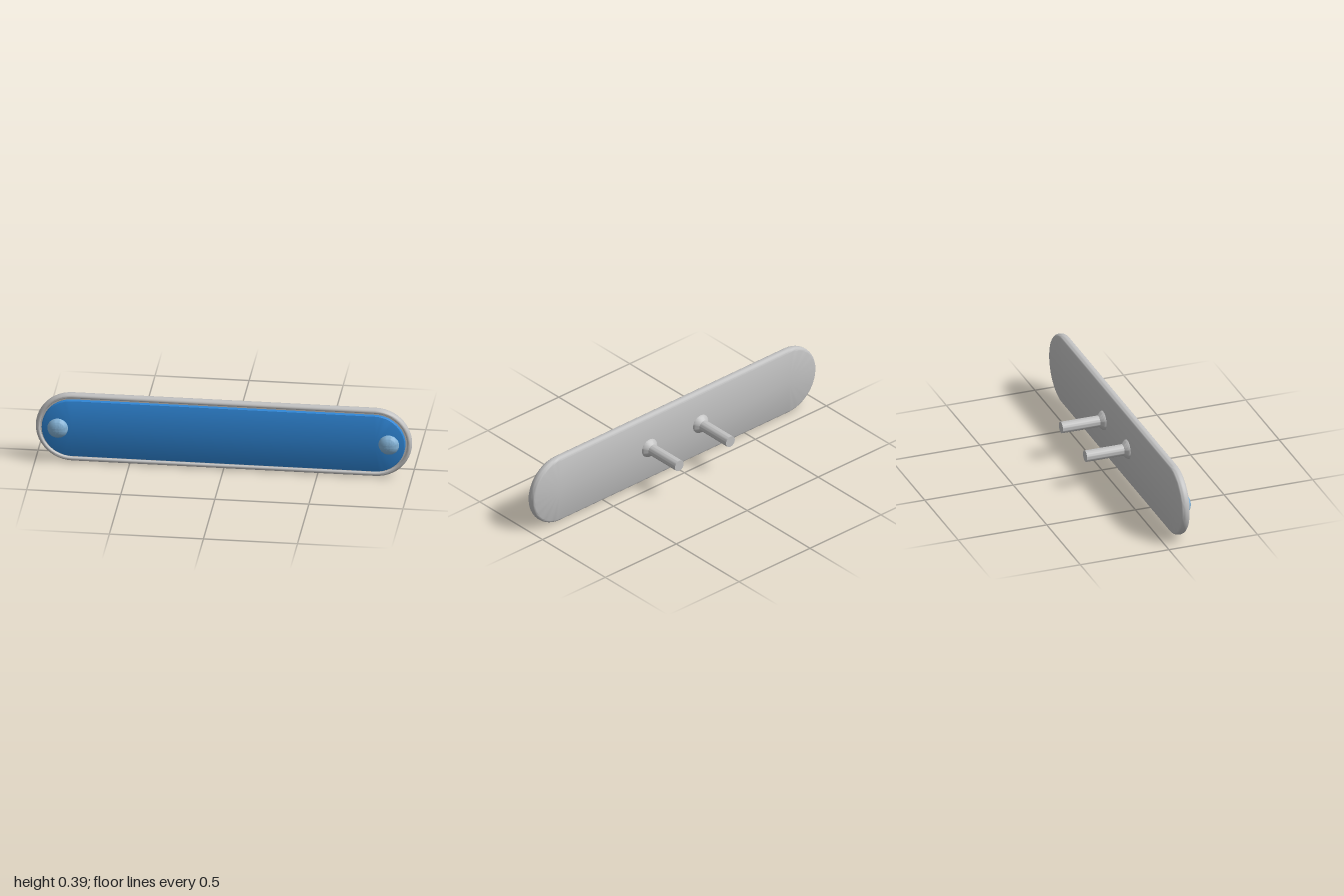
import * as THREE from 'three';
import { toCreasedNormals } from 'three/addons/utils/BufferGeometryUtils.js';

const HALF_STRAIGHT = 0.805; // distance from centre to each round end's centre
const CENTER_Y = 0.195;

// Sweeps a [radius, z] profile (back to front) around a pill-shaped outline
function pillGeometry(profile, arcSegments = 24) {
  const outline = [];
  for (const side of [1, -1]) {
    for (let i = 0; i <= arcSegments; i++) {
      const a = (i / arcSegments - 0.5) * Math.PI + (side < 0 ? Math.PI : 0);
      outline.push([side * HALF_STRAIGHT, Math.cos(a), Math.sin(a)]);
    }
  }
  const n = outline.length;
  const positions = [];
  const indices = [];
  profile.forEach(([r, z], j) => {
    outline.forEach(([x, c, s], i) => {
      positions.push(x + r * c, r * s, z);
      if (j === profile.length - 1) return;
      const k = (i + 1) % n;
      const a = j * n + i, b = j * n + k;
      indices.push(a, b, b + n, a, b + n, a + n);
    });
  });
  const geometry = new THREE.BufferGeometry();
  geometry.setAttribute('position', new THREE.Float32BufferAttribute(positions, 3));
  geometry.setIndex(indices);
  return toCreasedNormals(geometry, 0.7);
}

// Turns a [radius, z] profile (back to front) around the z axis
function turnedGeometry(profile, segments = 32) {
  const points = profile.map(([r, z]) => new THREE.Vector2(r, z));
  const geometry = new THREE.LatheGeometry(points, segments).rotateX(Math.PI / 2);
  return toCreasedNormals(geometry, 0.7);
}

export function createModel() {
  const group = new THREE.Group();
  const metal = new THREE.MeshStandardMaterial({ name: 'grey metal', color: 0xc2c2c2 });
  const blue = new THREE.MeshStandardMaterial({ name: 'blue enamel', color: 0x2f86d6 });
  const paleBlue = new THREE.MeshStandardMaterial({ name: 'pale blue', color: 0x85b4d8 });

  const add = (name, geometry, material, x = 0) => {
    const mesh = new THREE.Mesh(geometry, material);
    mesh.name = name;
    mesh.position.set(x, CENTER_Y, 0);
    group.add(mesh);
  };

  // Backing plate with rounded rim and a shallow recess in front
  add('backPlate', pillGeometry([
    [0, 0.075], [0.18, 0.075], [0.186, 0.077], [0.191, 0.082], [0.194, 0.089],
    [0.195, 0.098], [0.194, 0.108], [0.191, 0.115], [0.187, 0.12], [0.182, 0.122],
    [0.176, 0.122], [0.172, 0.119], [0.17, 0.112], [0.17, 0.108], [0, 0.108],
  ]), metal);

  // Raised blue panel with softened edge
  add('frontPanel', pillGeometry([
    [0.161, 0.107], [0.161, 0.124], [0.159, 0.128], [0.154, 0.13], [0, 0.13],
  ]), blue);

  // Domed studs at both ends
  const domeProfile = [];
  for (let i = 0; i <= 12; i++) {
    const a = (i / 12) * Math.PI / 2;
    domeProfile.push([0.055 * Math.cos(a), 0.129 + 0.034 * Math.sin(a)]);
  }
  const dome = turnedGeometry(domeProfile);

  // Mounting posts flaring where they meet the plate
  const post = turnedGeometry([
    [0, -0.163], [0.031, -0.163], [0.031, 0.048], [0.034, 0.051],
    [0.046, 0.063], [0.051, 0.069], [0.053, 0.077],
  ]);

  for (const [side, s] of [['left', 1], ['right', -1]]) {
    add(side + 'Stud', dome, paleBlue, s * 0.88);
    add(side + 'MountingPost', post, metal, s * 0.18);
  }
  return group;
}
